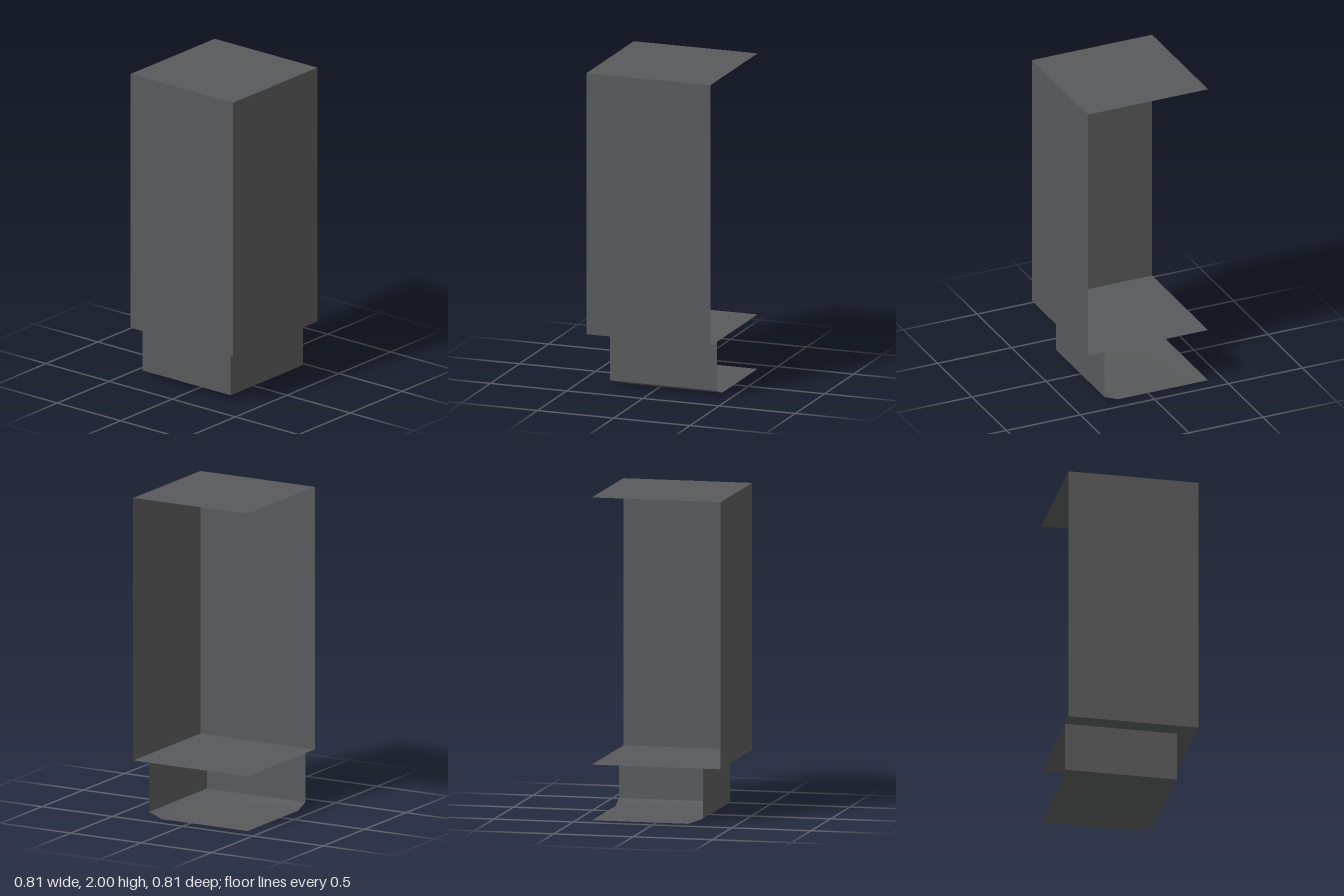
import * as THREE from 'three';

const material = new THREE.MeshStandardMaterial({ color: 0x58595a, side: THREE.DoubleSide });

const BACK = -0.406;   // open edge on both -x and -z
const BODY = 0.406;    // outer faces of the body
const PLINTH = 0.294;  // outer faces of the recessed plinth
const FOOT = 0.203;    // inner edge of the bevel under the plinth
const TOP = 2, SHELF = 0.345, BEVEL = 0.035;

function addMesh(group, name, geometry) {
  const mesh = new THREE.Mesh(geometry, material);
  mesh.name = name;
  group.add(mesh);
  return mesh;
}

// Two thin walls meeting at the +x/+z corner, open on the other two sides
function addCornerWalls(group, name, face, y0, y1) {
  const width = face - BACK, mid = (face + BACK) / 2, y = (y0 + y1) / 2;
  const front = addMesh(group, name + 'FrontWall', new THREE.PlaneGeometry(width, y1 - y0));
  front.position.set(mid, y, face);
  const side = addMesh(group, name + 'SideWall', new THREE.PlaneGeometry(width, y1 - y0));
  side.rotation.y = Math.PI / 2;
  side.position.set(face, y, mid);
}

// Full square sheet, facing up or down
function addSheet(group, name, y, up) {
  const sheet = addMesh(group, name, new THREE.PlaneGeometry(BODY - BACK, BODY - BACK));
  sheet.rotation.x = up ? -Math.PI / 2 : Math.PI / 2;
  sheet.position.y = y;
}

// Bottom panel with bevels along its front and +x edges, softly shaded
function bottomGeometry() {
  const geometry = new THREE.BufferGeometry();
  geometry.setAttribute('position', new THREE.Float32BufferAttribute([
    BACK, BEVEL, PLINTH, PLINTH, BEVEL, PLINTH, PLINTH, BEVEL, BACK, // upper rim
    BACK, 0, FOOT, FOOT, 0, FOOT, FOOT, 0, BACK,                     // lower rim
    BACK, 0, BACK,                                                   // open corner
  ], 3));
  geometry.setIndex([0, 3, 4, 0, 4, 1, 1, 4, 5, 1, 5, 2, 3, 6, 5, 3, 5, 4]);
  geometry.computeVertexNormals();
  return geometry;
}

export function createModel() {
  const model = new THREE.Group();
  model.name = 'openCabinet';

  const body = new THREE.Group();
  body.name = 'body';
  addCornerWalls(body, 'body', BODY, SHELF, TOP);
  addSheet(body, 'topPanel', TOP, true);
  addSheet(body, 'floorPanel', SHELF, false);

  const plinth = new THREE.Group();
  plinth.name = 'plinth';
  addCornerWalls(plinth, 'plinth', PLINTH, BEVEL, SHELF);
  addMesh(plinth, 'bevelledBottom', bottomGeometry());

  model.add(body, plinth);
  return model;
}
